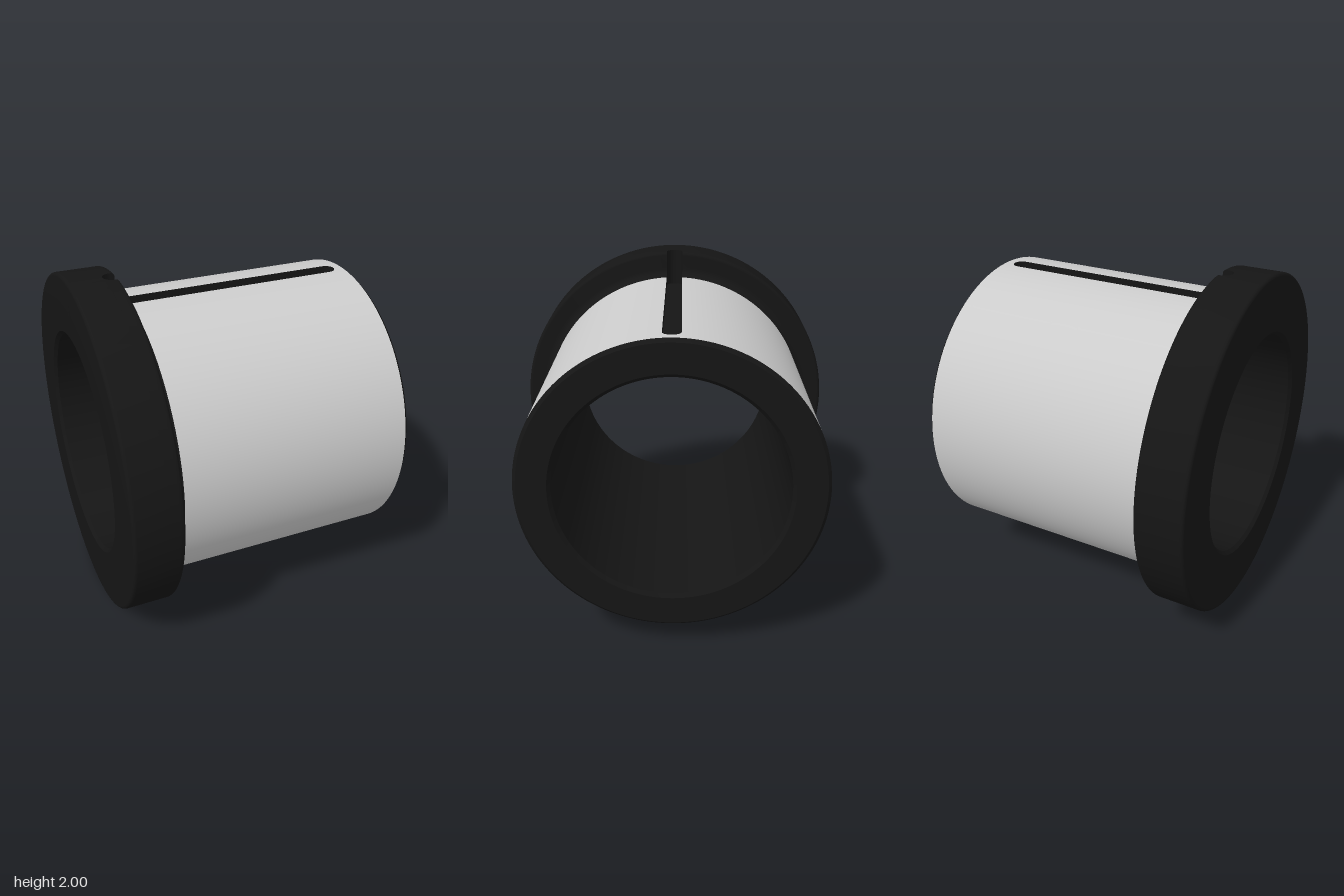
import * as THREE from 'three';
import { toCreasedNormals } from 'three/addons/utils/BufferGeometryUtils.js';

const CY = 1;                                   // height of the bore axis, which runs along x
const R = 0.85, BORE = 0.645, FLANGE = 1;
const SLOT = { from: -0.6, to: 0.73, half: 0.05, floor: 1.78 };
const NOTCH = { x: 0.14, y: 0.15, r: 0.1 };

// half width of the round-ended top slot at a station
function slotHalf(x, r) {
  if (r < 0.8) return 0;
  const d = Math.max(SLOT.from - x, x - SLOT.to, 0);
  return Math.sqrt(Math.max(SLOT.half ** 2 - d * d, 0));
}

// ceiling height of the round cross notch, and half the chord it cuts
const notchY = (x) => NOTCH.y + Math.sqrt(Math.max(NOTCH.r ** 2 - (x - NOTCH.x) ** 2, 0));
function notchHalf(x, r) {
  if (r < 0.8 || Math.abs(x - NOTCH.x) >= NOTCH.r) return 0;
  return Math.sqrt(Math.max(r * r - (CY - notchY(x)) ** 2, 0));
}

// surface through rows of points
function grid(rows) {
  const n = rows[0].length, index = [];
  for (let i = 0; i < rows.length - 1; i++) {
    for (let j = 0; j < n - 1; j++) {
      const a = i * n + j, c = a + n;
      index.push(a, a + 1, c, a + 1, c + 1, c);
    }
  }
  const g = new THREE.BufferGeometry();
  g.setAttribute('position', new THREE.Float32BufferAttribute(rows.flat(2), 3));
  g.setIndex(index);
  return g;
}

// half of a turned skin between two angles that make room for slot and notch
function turnedHalf(stations, back) {
  const n = 72;
  return grid(stations.map(([x, r]) => {
    const s = Math.asin(slotHalf(x, r) / r), c = Math.asin(notchHalf(x, r) / r);
    const a0 = back ? Math.PI + c : s, a1 = back ? 2 * Math.PI - s : Math.PI - c;
    return Array.from({ length: n + 1 }, (_, j) => {
      const a = a0 + (a1 - a0) * j / n;
      return [x, CY + r * Math.cos(a), r * Math.sin(a)];
    });
  }));
}

// quarter arc of stations
function arc(cx, cr, rad, a0, a1, n = 6) {
  return Array.from({ length: n + 1 }, (_, i) => {
    const a = a0 + (a1 - a0) * i / n;
    return [cx + rad * Math.cos(a), cr + rad * Math.sin(a)];
  });
}

export function createModel() {
  const group = new THREE.Group();
  const grey = new THREE.MeshStandardMaterial({ color: 0xcccccc });
  const dark = new THREE.MeshStandardMaterial({ color: 0x151515 });
  const add = (name, geometry, material) => {
    const m = new THREE.Mesh(geometry, material);
    m.name = name;
    group.add(m);
  };
  const crease = (g) => toCreasedNormals(g, 0.5);
  const P = Math.PI;

  // stations along the bore, flange and root fillet
  const slotStart = arc(SLOT.from, 0, SLOT.half, P, P / 2, 12).map(([x]) => [x, FLANGE]);
  const fillet = arc(-0.52, 0.9, 0.05, P, 1.5 * P);
  const flange = [
    [0.83, BORE], [-0.83, BORE], [-0.85, BORE + 0.02],
    ...arc(-0.83, 0.98, 0.02, P, P / 2),
    ...slotStart,
    ...arc(-0.59, 0.98, 0.02, P / 2, 0),
    ...fillet,
  ];

  // stations along the sleeve, denser at the notch and the slot end
  const xs = [-0.52, -0.2, 0.0];
  for (let i = 0; i <= 48; i++) {
    const t = P * (1 - Math.cos(P * i / 48)) / 2;
    xs.push(NOTCH.x - NOTCH.r * Math.cos(t));
  }
  xs.push(0.5);
  for (let i = 0; i <= 14; i++) xs.push(SLOT.to + SLOT.half * Math.sin(P / 2 * i / 14));
  xs.push(0.83);
  const sleeve = xs.map((x) => [x, R]);

  const end = [[0.83, R], [0.85, R - 0.02], [0.85, BORE + 0.02], [0.83, BORE]];

  for (const back of [false, true]) {
    const side = back ? 'Back' : 'Front';
    add('flangeAndBore' + side, crease(turnedHalf(flange, back)), dark);
    add('endFace' + side, crease(turnedHalf(end, back)), dark);
    const skin = turnedHalf(sleeve, back);
    const p = skin.attributes.position, normals = [];
    for (let i = 0; i < p.count; i++) normals.push(0, (p.getY(i) - CY) / R, p.getZ(i) / R);
    skin.setAttribute('normal', new THREE.Float32BufferAttribute(normals, 3));
    add('sleeve' + side, skin, grey);
  }

  // walls and floor of the top slot
  const slotRows = [...flange, ...sleeve]
    .filter(([x, r]) => r > 0.8 && x >= SLOT.from - SLOT.half - 1e-6 && x <= SLOT.to + SLOT.half + 1e-6)
    .map(([x, r]) => {
      const w = slotHalf(x, r), top = CY + Math.sqrt(r * r - w * w);
      return [[x, top, -w], [x, SLOT.floor, -w], [x, SLOT.floor, w], [x, top, w]];
    });
  add('oilSlot', crease(grid(slotRows)), dark);

  // round notch across the underside
  const notchRows = sleeve
    .filter(([x]) => Math.abs(x - NOTCH.x) <= NOTCH.r + 1e-6)
    .map(([x, r]) => {
      const c = notchHalf(x, r), y = c ? notchY(x) : CY - r;
      return [1, 0.5, 0, -0.5, -1].map((k) => [x, y, k * c]);
    });
  add('crossNotch', crease(grid(notchRows)), dark);

  return group;
}
